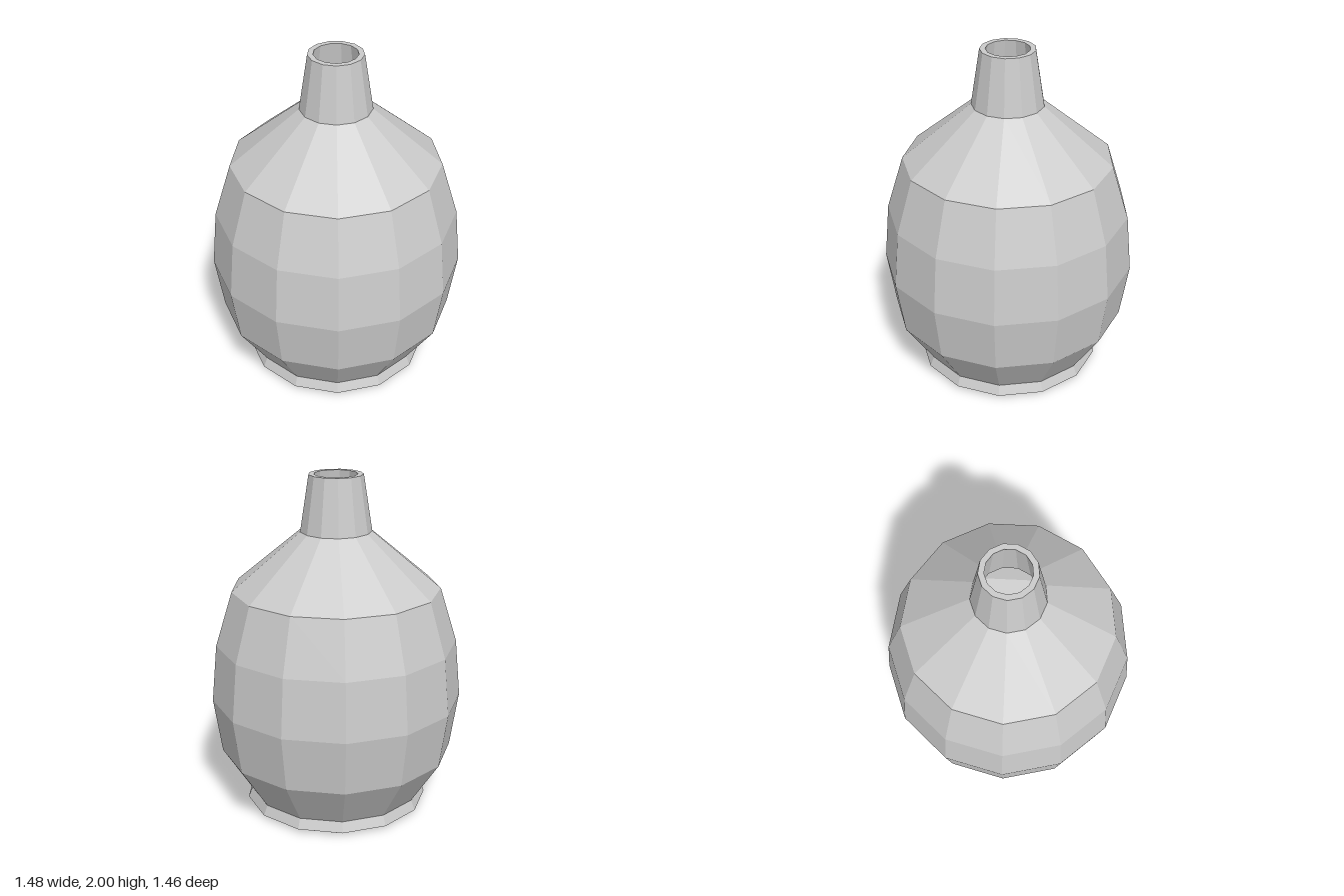
import * as THREE from 'three';

const SIDES = 13;

// Faceted ring of surfaces turned from [radius, height] points
function turned(name, points) {
  const geometry = new THREE.LatheGeometry(
    points.map(([r, y]) => new THREE.Vector2(r, y)), SIDES, Math.PI);
  const material = new THREE.MeshStandardMaterial({
    color: 0xcccccc, flatShading: true, side: THREE.DoubleSide });
  const mesh = new THREE.Mesh(geometry, material);
  mesh.name = name;
  return mesh;
}

export function createModel() {
  const bottle = new THREE.Group();
  bottle.name = 'bottle';

  // Closed foot with a small flared lip
  bottle.add(turned('foot', [[0, 0], [0.515, 0], [0.549, 0.02], [0.524, 0.08]]));

  // Bulging body, narrowing to the shoulder
  bottle.add(turned('body', [
    [0.524, 0.08], [0.695, 0.35], [0.743, 0.68],
    [0.71, 1.02], [0.61, 1.34], [0.208, 1.675],
  ]));

  // Tapered open neck: outer wall, rim, inner wall
  bottle.add(turned('neck', [[0.208, 1.675], [0.157, 2], [0.125, 2], [0.17, 1.675]]));

  // The odd number of sides sets the middle slightly forward
  bottle.position.z = 0.01;

  const model = new THREE.Group();
  model.add(bottle);
  return model;
}
